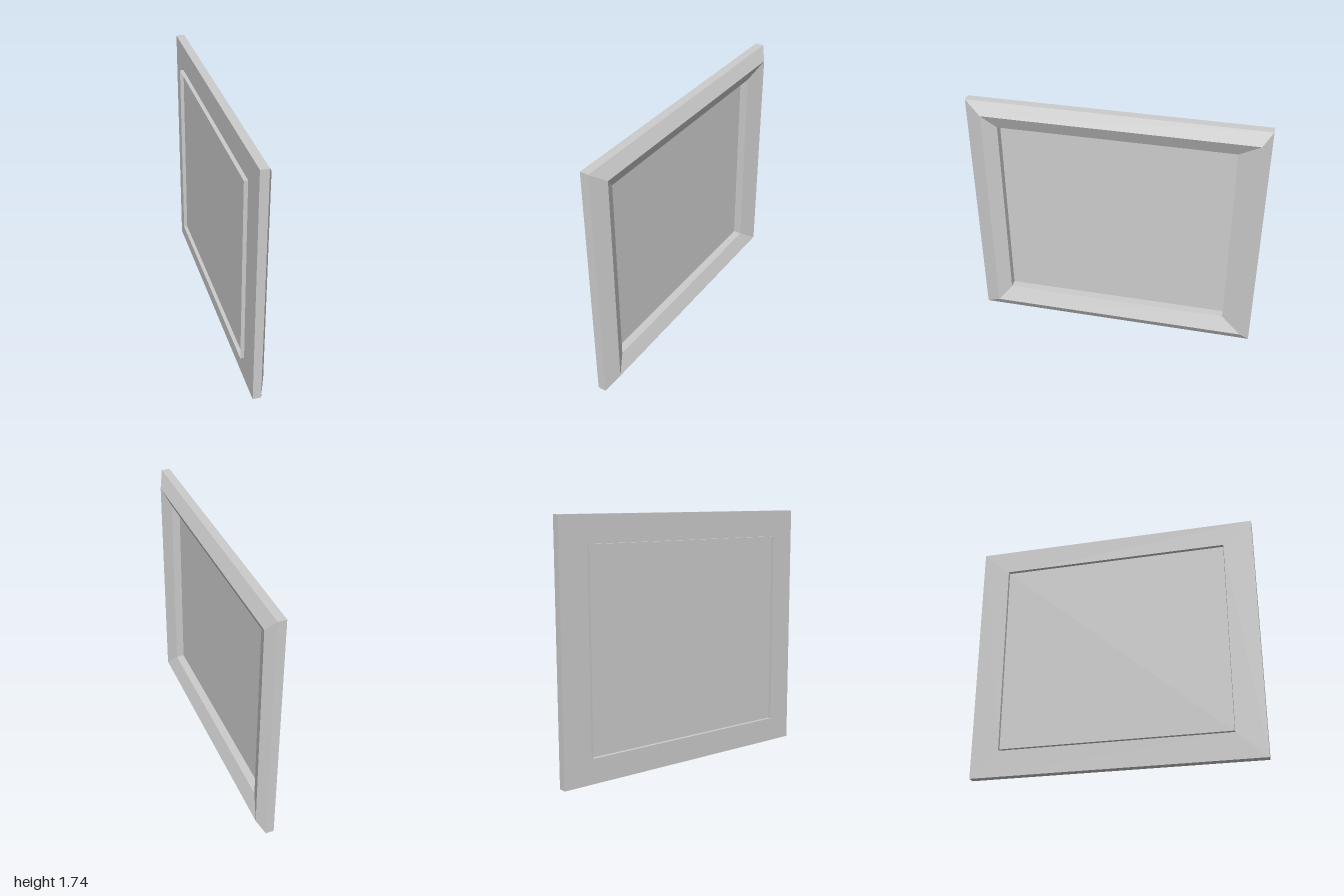
import * as THREE from 'three';

// Rectangular ring of four corners at depth x
const ring = (x, y0, y1, zMin, zMax) => [
  [x, y0, zMax], [x, y0, zMin], [x, y1, zMin], [x, y1, zMax],
];

// Flat-faced skin through consecutive rings
function loft(rings) {
  const pos = [];
  for (let i = 0; i < rings.length - 1; i++) {
    const r = rings[i], s = rings[i + 1];
    for (let k = 0; k < 4; k++) {
      const n = (k + 1) % 4;
      pos.push(...r[k], ...r[n], ...s[n], ...r[k], ...s[n], ...s[k]);
    }
  }
  const geo = new THREE.BufferGeometry();
  geo.setAttribute('position', new THREE.Float32BufferAttribute(pos, 3));
  geo.computeVertexNormals();
  return geo;
}

export function createModel() {
  const group = new THREE.Group();
  const material = new THREE.MeshStandardMaterial({
    color: 0xcccccc, flatShading: true, side: THREE.DoubleSide,
  });
  const add = (name, geo) => {
    const mesh = new THREE.Mesh(geo, material);
    mesh.name = name;
    group.add(mesh);
    return mesh;
  };

  const back = -0.04, front = 0.018, peak = 0.066, rim = -0.066;
  const H = 1.742;
  const opening = [0.182, 1.557, -0.796, 0.796];

  // Mitred frame: outer edge, bevel up to an off-centre ridge, slope in, inner wall, flat back
  const outerBack = ring(back, 0, H, -1, 1);
  add('frame', loft([
    outerBack,
    ring(front, 0, H, -1, 1),
    ring(peak, 0.075, 1.656, -0.937, 0.89),
    ring(front, ...opening),
    ring(back, ...opening),
    outerBack,
  ]));

  // Thin open lip standing out of the back around the opening
  add('backLip', loft([ring(rim, ...opening), ring(back, ...opening)]));

  // Flat panel closing the opening
  const [y0, y1, zMin, zMax] = opening;
  const panel = add('panel', new THREE.PlaneGeometry(zMax - zMin, y1 - y0));
  panel.rotation.y = Math.PI / 2;
  panel.position.set(back, (y0 + y1) / 2, 0);

  return group;
}
